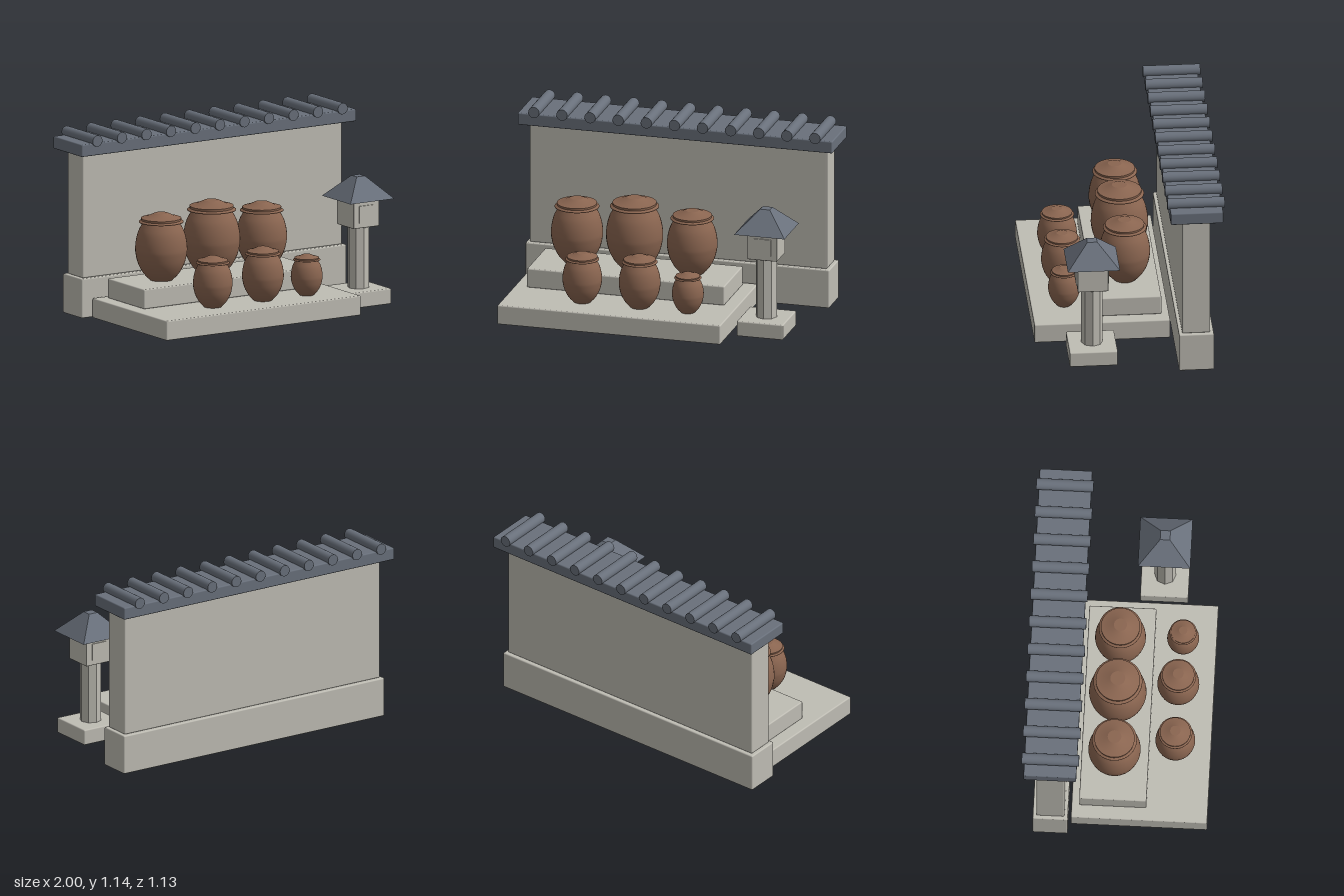
import * as THREE from 'three';
import { toCreasedNormals } from 'three/addons/utils/BufferGeometryUtils.js';
import { RoundedBoxGeometry } from 'three/addons/geometries/RoundedBoxGeometry.js';

const material = (name, color) => {
  const m = new THREE.MeshStandardMaterial({ color });
  m.name = name;
  return m;
};

export function createModel() {
  const stone = material('pale stone', 0xbfbdb4);
  const slate = material('slate grey', 0x69707b);
  const clay = material('brown clay', 0x8a6550);
  const model = new THREE.Group();
  model.name = 'jarTerrace';

  const add = (parent, name, geometry, mat, x = 0, y = 0, z = 0) => {
    const mesh = new THREE.Mesh(geometry, mat);
    mesh.name = name;
    mesh.position.set(x, y, z);
    parent.add(mesh);
    return mesh;
  };

  // Softly rounded block given by its limits on each axis
  const block = (parent, name, mat, [x0, x1], [y0, y1], [z0, z1], radius = 0.008) =>
    add(parent, name, new RoundedBoxGeometry(x1 - x0, y1 - y0, z1 - z0, 2, radius), mat,
      (x0 + x1) / 2, (y0 + y1) / 2, (z0 + z1) / 2);

  // Garden wall with coping and round tiles
  const wall = new THREE.Group();
  wall.name = 'gardenWall';
  model.add(wall);
  block(wall, 'wallBase', stone, [-0.965, 0.965], [0, 0.245], [-0.498, -0.284]);
  block(wall, 'wallPanel', stone, [-0.945, 0.945], [0.245, 1.018], [-0.476, -0.304]);
  block(wall, 'coping', slate, [-1, 1], [1.018, 1.095], [-0.552, -0.23]);
  const tile = new THREE.CylinderGeometry(0.035, 0.035, 0.35, 20).rotateX(Math.PI / 2);
  for (let i = 0; i < 11; i++) {
    add(wall, 'roofTile', tile, slate, -0.893 + i * 0.1786, 1.11, -0.392);
  }

  // Two-step platform
  block(model, 'lowerPlatform', stone, [-0.9, 0.517], [0, 0.123], [-0.267, 0.565]);
  block(model, 'upperPlatform', stone, [-0.82, 0.435], [0.123, 0.245], [-0.22, 0.19]);

  // Clay jars: one unit-high jar scaled to each size
  const v = (points) => points.map(([r, y]) => new THREE.Vector2(r, y));
  const belly = new THREE.SplineCurve(v([
    [0.17, 0], [0.265, 0.1], [0.345, 0.25], [0.38, 0.4], [0.385, 0.48],
    [0.372, 0.6], [0.34, 0.72], [0.295, 0.81], [0.265, 0.86],
  ])).getPoints(24);
  const bodyGeo = toCreasedNormals(
    new THREE.LatheGeometry([new THREE.Vector2(0, 0), ...belly], 36), 0.7);
  const lidGeo = toCreasedNormals(new THREE.LatheGeometry(v([
    [0.255, 0.85], [0.33, 0.865], [0.33, 0.872], [0.295, 0.895], [0.297, 0.925],
    [0.27, 0.933], [0.215, 0.945], [0.1, 0.998], [0, 1],
  ]), 36), 0.35);
  const jars = [
    // x, base, z, height
    [-0.56, 0.245, -0.017, 0.415],
    [-0.194, 0.245, -0.015, 0.455],
    [0.172, 0.245, -0.017, 0.403],
    [-0.422, 0.123, 0.348, 0.315],
    [-0.057, 0.123, 0.348, 0.332],
    [0.253, 0.123, 0.362, 0.253],
  ];
  for (const [x, y, z, height] of jars) {
    const jar = new THREE.Group();
    jar.name = 'clayJar';
    jar.position.set(x, y, z);
    jar.scale.setScalar(height);
    add(jar, 'jarBody', bodyGeo, clay);
    add(jar, 'jarLid', lidGeo, clay);
    model.add(jar);
  }

  // Stone lantern
  const lantern = new THREE.Group();
  lantern.name = 'stoneLantern';
  lantern.position.set(0.714, 0, 0.23);
  model.add(lantern);
  block(lantern, 'lanternFoot', stone, [-0.147, 0.147], [0, 0.097], [-0.147, 0.147]);
  const post = new THREE.CylinderGeometry(0.066, 0.066, 0.378, 8).toNonIndexed();
  post.computeVertexNormals();
  add(lantern, 'lanternPost', post, stone, 0, 0.286, 0);
  block(lantern, 'lanternBox', stone, [-0.094, 0.094], [0.483, 0.657], [-0.094, 0.094], 0.005);
  for (const side of [-1, 1]) {
    add(lantern, 'lanternWindow', new THREE.BoxGeometry(0.11, 0.106, 0.008), stone,
      0, 0.569, side * 0.097);
  }
  // Four-sided roof with a small flat top
  const roof = new THREE.CylinderGeometry(0.03 * Math.SQRT2, 0.16 * Math.SQRT2, 0.135, 4)
    .rotateY(Math.PI / 4).toNonIndexed();
  roof.computeVertexNormals();
  add(lantern, 'lanternRoof', roof, slate, 0, 0.724, 0);

  return model;
}
